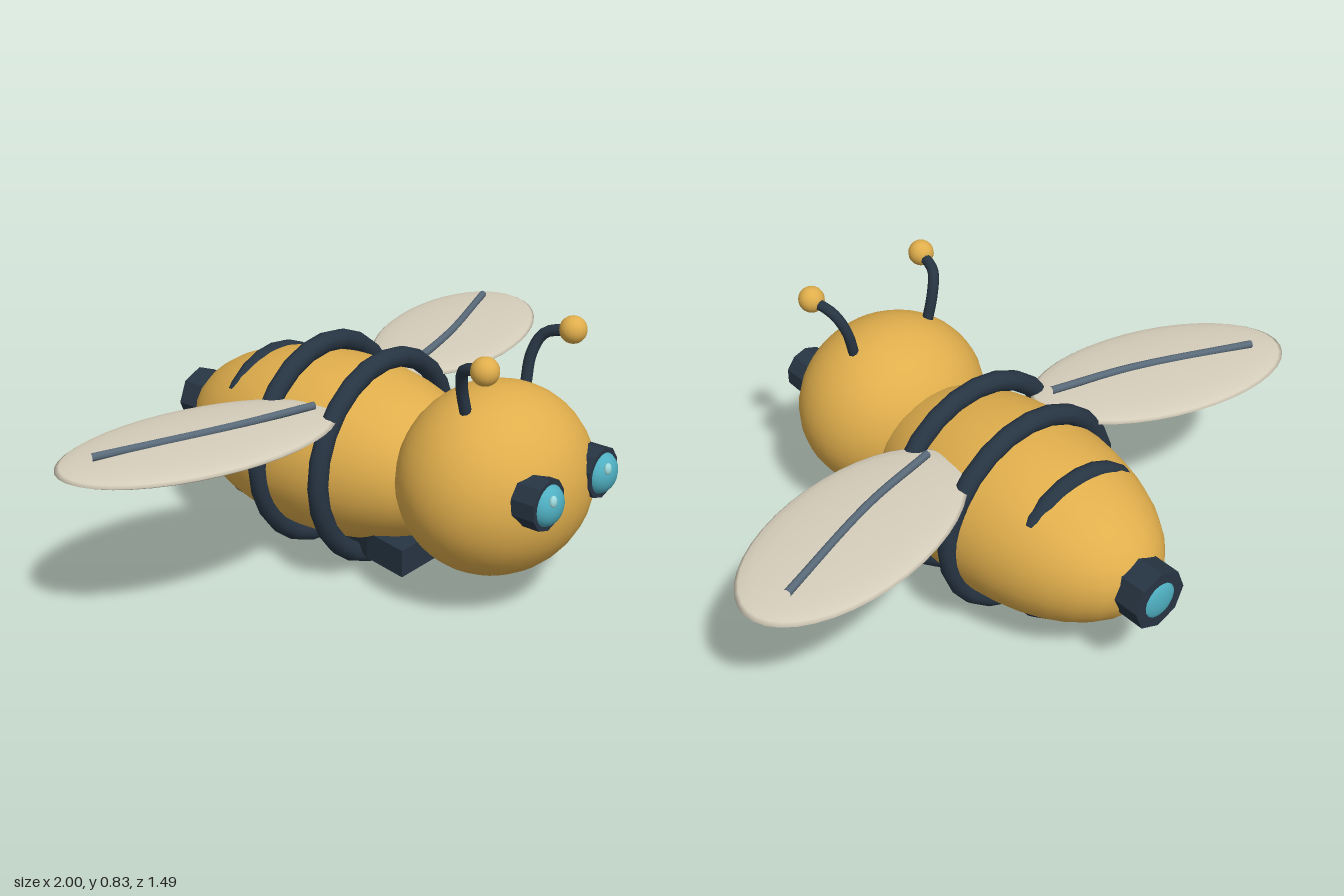
import * as THREE from 'three';

const mat = (color, extra = {}) => new THREE.MeshStandardMaterial({ color, ...extra });
const yellow = mat(0xe0ae4c);
const dark = mat(0x273543);
const darkFlat = mat(0x273543, { flatShading: true });
const teal = mat(0x4fb0c2);
const glint = mat(0x9fdde0);
const wingMat = mat(0xd6cebb);
const veinMat = mat(0x5a6b7a);

export function createModel() {
  const model = new THREE.Group();
  model.name = 'bee';

  const add = (name, geometry, material, x, y, z, parent = model) => {
    const mesh = new THREE.Mesh(geometry, material);
    mesh.name = name;
    mesh.position.set(x, y, z);
    parent.add(mesh);
    return mesh;
  };
  const ellipsoid = (rx, ry, rz, w = 32, h = 20) =>
    new THREE.SphereGeometry(1, w, h).scale(rx, ry, rz);
  const drum = (r, depth, sides) =>
    new THREE.CylinderGeometry(r, r, depth, sides).rotateX(Math.PI / 2);
  const tube = (points, r, segments) => new THREE.TubeGeometry(
    new THREE.CatmullRomCurve3(points.map(p => new THREE.Vector3(...p))), segments, r, 8);

  // Head and body
  add('head', ellipsoid(0.305, 0.278, 0.273), yellow, 0, 0.388, 0.44);
  add('body', ellipsoid(0.305, 0.27, 0.53), yellow, 0, 0.34, -0.15);

  // Stripes: two full hoops and a smaller one sunk into the sides
  [[0.035, 0.302, 0.031], [-0.195, 0.304, 0.031], [-0.4, 0.228, 0.028]].forEach(([z, r, t], i) =>
    add('stripe' + (i + 1), new THREE.TorusGeometry(r, t, 10, 24), dark, 0, 0.34, z));

  // Belly plate, narrowing toward the back
  const plate = new THREE.Shape([[-0.19, 0.255], [0.19, 0.255], [0.16, 0.1], [0.06, -0.1],
    [-0.06, -0.1], [-0.16, 0.1]].map(([x, z]) => new THREE.Vector2(x, z)));
  const plateGeo = new THREE.ExtrudeGeometry(plate, { depth: 0.085, bevelEnabled: false });
  plateGeo.rotateX(Math.PI / 2);
  add('bellyPlate', plateGeo, darkFlat, 0, 0.165, 0);

  // Tail nozzle with its lens
  add('tailNozzle', drum(0.093, 0.135, 8), darkFlat, 0, 0.34, -0.668);
  add('tailLens', ellipsoid(0.062, 0.062, 0.02, 16, 10), teal, 0, 0.34, -0.727);

  for (const side of [-1, 1]) {
    const label = side > 0 ? 'left' : 'right';

    // Eye: socket, ball and highlight
    const eye = new THREE.Group();
    eye.name = label + 'Eye';
    eye.position.set(side * 0.135, 0.428, 0);
    model.add(eye);
    add('socket', drum(0.075, 0.075, 10), darkFlat, 0, 0, 0.672, eye);
    add('eyeball', ellipsoid(0.061, 0.061, 0.045, 16, 12), teal, 0, 0, 0.7, eye);
    add('highlight', ellipsoid(0.014, 0.018, 0.01, 10, 8), glint, -0.02, 0.026, 0.735, eye);

    // Antenna: bent stalk and ball
    const antenna = new THREE.Group();
    antenna.name = label + 'Antenna';
    model.add(antenna);
    add('stalk', tube([[side * 0.142, 0.62, 0.435], [side * 0.165, 0.71, 0.435],
      [side * 0.19, 0.77, 0.46], [side * 0.21, 0.792, 0.54]], 0.017, 14), dark, 0, 0, 0, antenna);
    add('ball', ellipsoid(0.04, 0.04, 0.04, 16, 12), yellow, side * 0.21, 0.793, 0.542, antenna);

    // Wing: swept flat ellipsoid with a curved vein
    const wing = new THREE.Group();
    wing.name = label + 'Wing';
    model.add(wing);
    const blade = add('blade', ellipsoid(0.426, 0.026, 0.228, 40, 12), wingMat,
      side * 0.585, 0.53, -0.143, wing);
    blade.rotation.y = side * 0.27;
    add('vein', tube([[side * 0.24, 0.558, -0.03], [side * 0.5, 0.56, -0.1],
      [side * 0.885, 0.556, -0.25]], 0.012, 12), veinMat, 0, 0, 0, wing);
  }

  return model;
}
